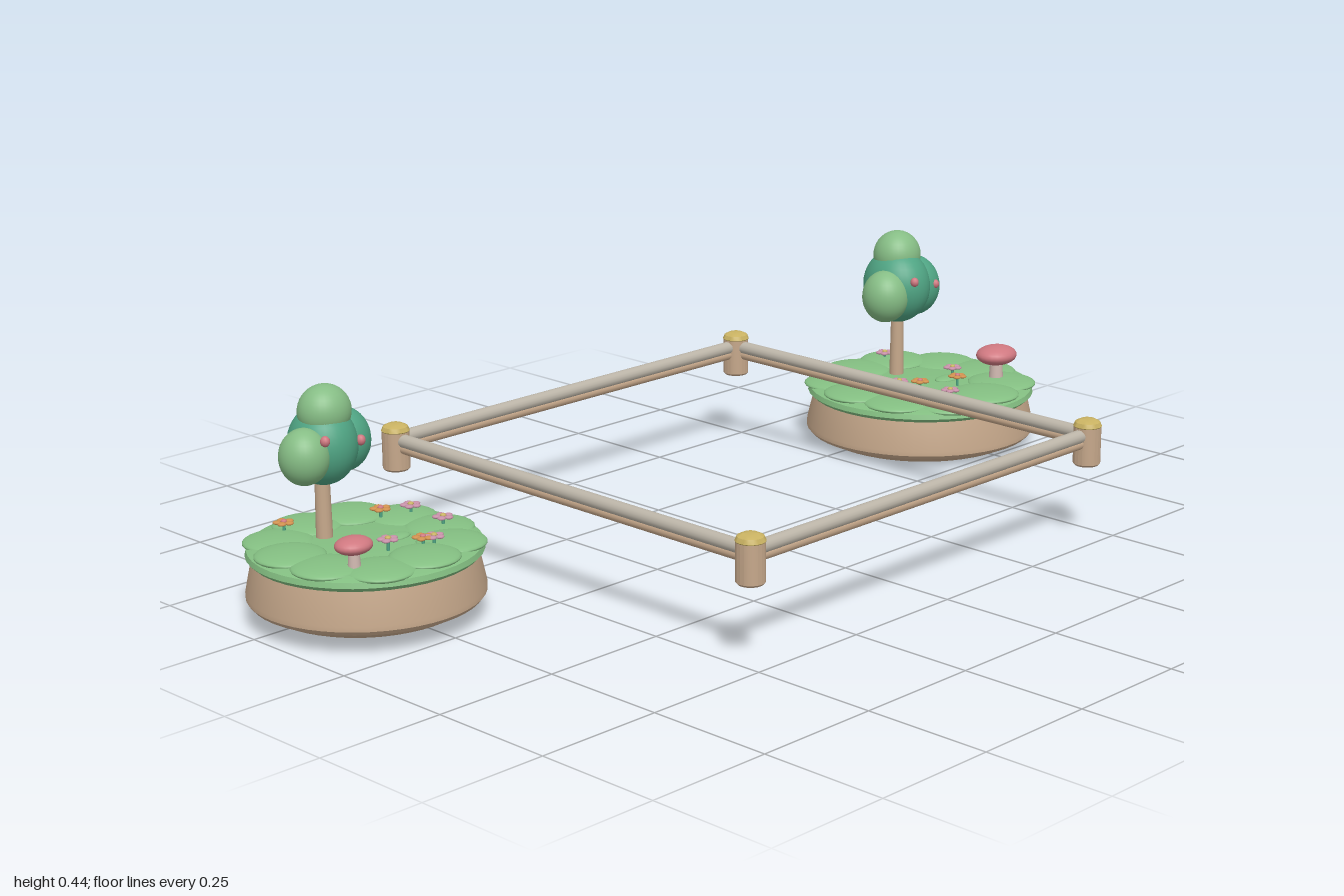
import * as THREE from 'three';
import { toCreasedNormals } from 'three/addons/utils/BufferGeometryUtils.js';

const mat = (name, color) => Object.assign(new THREE.MeshStandardMaterial({ color }), { name });
const M = {
  earth: mat('tan earth and wood', 0xc6a88b),
  gold: mat('gold cap', 0xc9b262),
  rail: mat('warm gray rail', 0xbcb5a8),
  grass: mat('grass green', 0x84bf82),
  leafDark: mat('teal leaf', 0x4fa483),
  leafLight: mat('light leaf', 0x86bd85),
  red: mat('rose red', 0xcf7880),
  stem: mat('pale stem', 0xd0b8b0),
  pink: mat('pink petal', 0xc791a8),
  orange: mat('orange petal', 0xd0914f),
};

function add(parent, name, geometry, material, x = 0, y = 0, z = 0) {
  const mesh = new THREE.Mesh(geometry, material);
  mesh.name = name;
  mesh.position.set(x, y, z);
  parent.add(mesh);
  return mesh;
}

// Ellipsoid from a unit sphere
function blob(parent, name, material, [x, y, z], [rx, ry, rz], seg = 24) {
  const geo = new THREE.SphereGeometry(1, seg, Math.ceil(seg * 0.6)).scale(rx, ry, rz);
  return add(parent, name, geo, material, x, y, z);
}

const lathe = (pts, seg = 32) =>
  toCreasedNormals(new THREE.LatheGeometry(pts.map(p => new THREE.Vector2(...p)), seg), 0.6);

// Square fence: four capped posts joined by double rails
function createFence() {
  const g = new THREE.Group();
  g.name = 'fence';
  const h = 0.468;
  const postGeo = lathe([[0, 0.15], [0.023, 0.15], [0.0265, 0.154], [0.0265, 0.227], [0, 0.227]], 20);
  const capGeo = lathe([[0, 0.224], [0.025, 0.224], [0.0275, 0.228], [0.024, 0.236], [0.014, 0.241], [0, 0.2425]], 20);
  for (let i = 0; i < 4; i++) {
    const side = new THREE.Group();
    side.name = 'fenceSide';
    side.rotation.y = i * Math.PI / 2;
    add(side, 'post', postGeo, M.earth, h, 0, h);
    add(side, 'postCap', capGeo, M.gold, h, 0, h);
    const bar = r => new THREE.CylinderGeometry(r, r, 2 * h, 16).rotateZ(Math.PI / 2);
    add(side, 'upperRail', bar(0.0132), M.rail, 0, 0.2105, h);
    add(side, 'lowerRail', bar(0.0105), M.earth, 0, 0.1955, h);
    g.add(side);
  }
  g.position.x = -0.019;
  return g;
}

// Round island: earth bowl, turf disc and overlapping grass pads
function createIsland(x, y, z, s) {
  const g = new THREE.Group();
  g.name = 'island';
  add(g, 'earthBase', lathe([[0, 0], [0.192, 0], [0.203, 0.004], [0.213, 0.014], [0.236, 0.019],
    [0.243, 0.027], [0.243, 0.036], [0.228, 0.1], [0, 0.1]], 48), M.earth);
  add(g, 'turf', lathe([[0, 0.098], [0.232, 0.098], [0.241, 0.106], [0.238, 0.116], [0.22, 0.121], [0, 0.122]], 40), M.grass);
  for (let i = 0; i < 10; i++) {
    const a = i * Math.PI / 5 + 0.2, r = 0.17 + 0.006 * Math.sin(i * 2.4);
    blob(g, 'grassPad', M.grass, [Math.cos(a) * r, 0.118 + 0.002 * (i % 3), Math.sin(a) * r], [0.073, 0.012, 0.073]);
  }
  blob(g, 'grassTuft', M.grass, [0.055, 0.122, 0.03], [0.035, 0.006, 0.02], 16);
  g.scale.set(s, 1, s);
  g.position.set(x, y, z);
  return g;
}

// Tree: trunk, leaf lobes [material, centre, radii] and small fruit
function createTree([x, y, z], lobes, fruit) {
  const g = new THREE.Group();
  g.name = 'tree';
  add(g, 'trunk', new THREE.CylinderGeometry(0.013, 0.0155, 0.16, 16), M.earth, x, y + 0.08, z);
  for (const [m, c, r] of lobes) blob(g, 'leaves', m, c, r, 32);
  for (const c of fruit) blob(g, 'fruit', M.red, c, [0.009, 0.01, 0.009], 12);
  return g;
}

function createMushroom(x, y, z, s) {
  const g = new THREE.Group();
  g.name = 'mushroom';
  add(g, 'mushroomStem', new THREE.CylinderGeometry(0.012, 0.016, 0.06, 16), M.stem, 0, 0.03, 0);
  blob(g, 'mushroomCap', M.red, [0, 0.06, 0], [0.047, 0.021, 0.041]);
  g.position.set(x, y, z);
  g.scale.setScalar(s);
  return g;
}

// Flower: thin stem, five flat petals and a centre
function createFlower(x, y, z, petal, centre) {
  const g = new THREE.Group();
  g.name = 'flower';
  add(g, 'flowerStem', new THREE.CylinderGeometry(0.003, 0.003, 0.026, 8), M.leafDark, 0, 0.013, 0);
  for (let i = 0; i < 5; i++) {
    const a = i * Math.PI * 0.4;
    blob(g, 'petal', petal, [Math.cos(a) * 0.012, 0.026, Math.sin(a) * 0.012], [0.0085, 0.0035, 0.0085], 10);
  }
  blob(g, 'flowerCentre', centre, [0, 0.028, 0], [0.006, 0.004, 0.006], 10);
  g.position.set(x, y, z);
  return g;
}

export function createModel() {
  const model = new THREE.Group();
  model.name = 'gardenIslandsWithFence';
  model.add(createFence());

  // Islands
  model.add(createIsland(0.75, 0, -0.208, 1));
  model.add(createIsland(-0.781, 0.02, -0.203, 0.888));

  // Trees
  model.add(createTree([0.762, 0.115, -0.286], [
    [M.leafDark, [0.757, 0.32, -0.285], [0.066, 0.08, 0.076]],
    [M.leafLight, [0.704, 0.307, -0.27], [0.05, 0.056, 0.05]],
    [M.leafDark, [0.808, 0.312, -0.286], [0.055, 0.066, 0.064]],
    [M.leafLight, [0.765, 0.384, -0.292], [0.052, 0.053, 0.05]],
  ], [[0.733, 0.342, -0.214], [0.815, 0.322, -0.226]]));
  model.add(createTree([-0.818, 0.135, -0.272], [
    [M.leafDark, [-0.815, 0.315, -0.27], [0.062, 0.074, 0.066]],
    [M.leafLight, [-0.872, 0.308, -0.25], [0.046, 0.052, 0.046]],
    [M.leafDark, [-0.765, 0.312, -0.28], [0.052, 0.06, 0.056]],
    [M.leafLight, [-0.812, 0.377, -0.265], [0.05, 0.049, 0.046]],
  ], [[-0.858, 0.342, -0.207], [-0.767, 0.322, -0.222]]));

  // Mushrooms
  model.add(createMushroom(0.864, 0.12, -0.092, 1));
  model.add(createMushroom(-0.892, 0.14, -0.096, 0.76));

  // Flowers: x, z, orange or pink
  const beds = [
    [0.117, [[0.815, -0.366, 0], [0.663, -0.192, 0], [0.693, -0.16, 1], [0.824, -0.18, 0], [0.778, -0.128, 1], [0.685, -0.07, 0]]],
    [0.137, [[-0.858, -0.337, 1], [-0.687, -0.273, 1], [-0.635, -0.25, 0], [-0.788, -0.13, 0], [-0.738, -0.094, 1], [-0.72, -0.085, 0], [-0.638, -0.156, 0]]],
  ];
  for (const [y, list] of beds) {
    for (const [x, z, o] of list) {
      model.add(createFlower(x, y, z, o ? M.orange : M.pink, o ? M.red : M.gold));
    }
  }
  return model;
}
